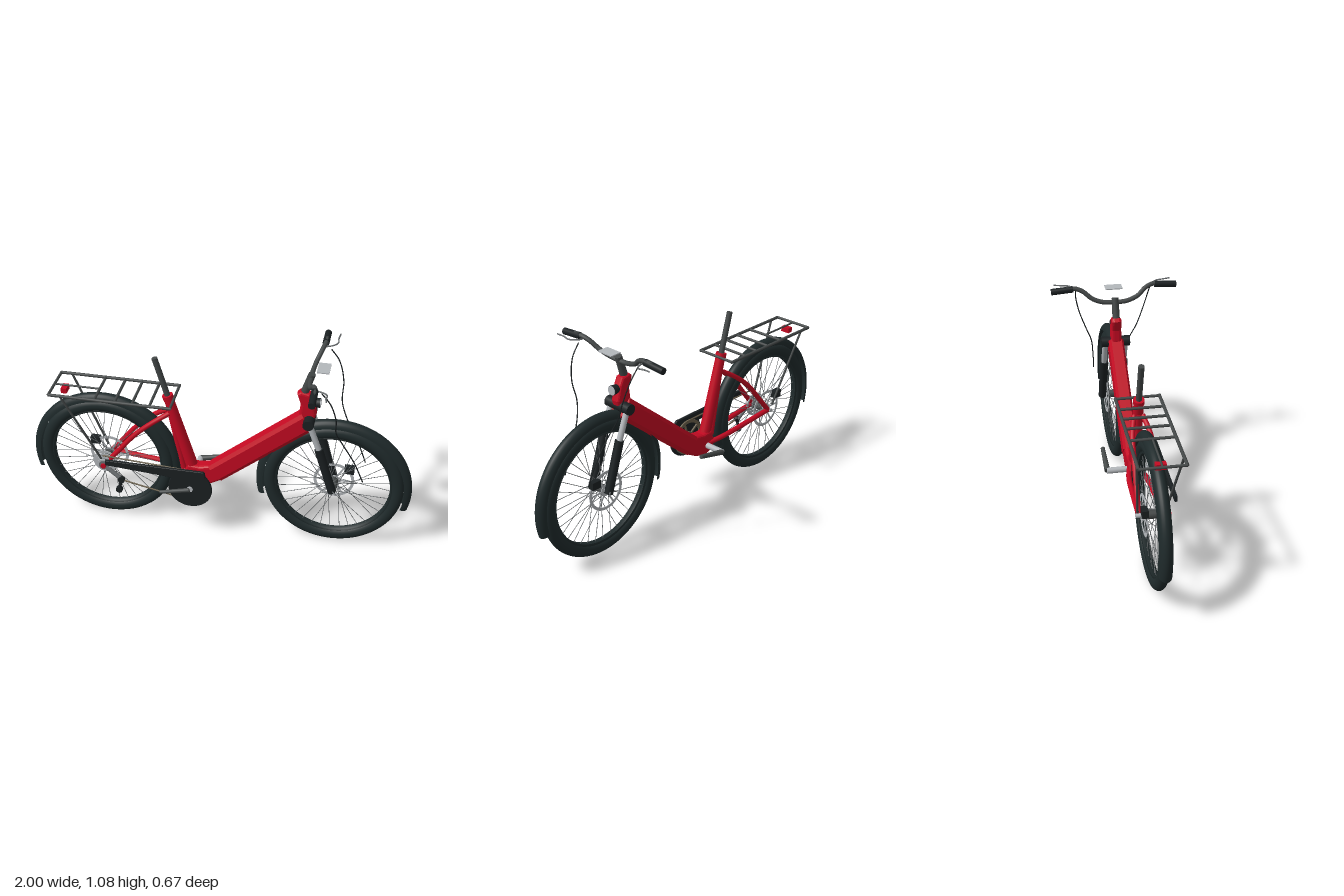
import * as THREE from 'three';
import { mergeGeometries } from 'three/addons/utils/BufferGeometryUtils.js';

const mat = (name, color, side = THREE.FrontSide) => {
  const m = new THREE.MeshStandardMaterial({ color, side });
  m.name = name;
  return m;
};
const V = (p) => new THREE.Vector3(...p);

export function createModel() {
  const red = mat('red paint', 0xc40a22);
  const rubber = mat('black rubber', 0x1f2a2b, THREE.DoubleSide);
  const black = mat('black plastic', 0x1b2022);
  const grey = mat('dark grey metal', 0x434747);
  const silver = mat('silver', 0xb4b8bc, THREE.DoubleSide);
  const steel = mat('spoke steel', 0x6c7072);
  const bronze = mat('chain bronze', 0x6a604c);

  const bike = new THREE.Group();
  bike.name = 'bicycle';

  const add = (name, geo, material, parent = bike) => {
    const m = new THREE.Mesh(geo, material);
    m.name = name;
    parent.add(m);
    return m;
  };
  // straight round bar between two points
  const rodGeo = (a, b, r, r2 = r, sides = 16) => {
    const A = V(a), B = V(b), d = B.clone().sub(A);
    const g = new THREE.CylinderGeometry(r2, r, d.length(), sides);
    g.applyQuaternion(new THREE.Quaternion().setFromUnitVectors(new THREE.Vector3(0, 1, 0), d.normalize()));
    const c = A.add(B).multiplyScalar(0.5);
    return g.translate(c.x, c.y, c.z);
  };
  const rod = (name, a, b, r, m, r2, parent) => add(name, rodGeo(a, b, r, r2), m, parent);
  const pipe = (name, pts, r, m, sides = 10) =>
    add(name, new THREE.TubeGeometry(new THREE.CatmullRomCurve3(pts.map(V)), 40, r, sides), m);
  const box = (name, size, pos, m, parent) =>
    add(name, new THREE.BoxGeometry(...size).translate(...pos), m, parent);
  // side outline extruded across z, centred at z
  const plate = (shape, depth, z, bevel = 0) =>
    new THREE.ExtrudeGeometry(shape, {
      depth: depth - 2 * bevel, bevelEnabled: bevel > 0, bevelSize: bevel,
      bevelThickness: bevel, bevelOffset: -bevel, bevelSegments: 3, curveSegments: 32,
    }).translate(0, 0, z - depth / 2 + bevel);
  const outline = (pts) => new THREE.Shape(pts.map((p) => new THREE.Vector2(...p)));
  const ringShape = (ro, ri) => {
    const s = new THREE.Shape().absarc(0, 0, ro, 0, Math.PI * 2);
    s.holes.push(new THREE.Path().absarc(0, 0, ri, 0, Math.PI * 2));
    return s;
  };
  // ring with radial arms, for brake discs and chainring
  const spider = (ro, ri, hub, arms, z, depth) => {
    const parts = [plate(ringShape(ro, ri), depth, z), plate(ringShape(hub, hub * 0.5), depth, z)];
    for (let i = 0; i < arms; i++) {
      const len = ri - hub + 0.006;
      parts.push(new THREE.BoxGeometry(len, 0.009, depth).toNonIndexed()
        .translate((ri + hub) / 2, 0, z).rotateZ((i / arms) * Math.PI * 2));
    }
    return mergeGeometries(parts);
  };
  // profile of (radius, z) turned around the z axis
  const turned = (pts, start = 0, length = Math.PI * 2) =>
    new THREE.LatheGeometry(pts.map((p) => new THREE.Vector2(...p)), 72, start, length).rotateX(Math.PI / 2);

  // Wheels with mudguards, discs and calipers
  const tyre = [], guard = [];
  for (let i = 0; i <= 20; i++) {
    const a = -Math.PI / 2 + (i / 20) * Math.PI * 2;
    tyre.push([0.327 + 0.033 * Math.cos(a), 0.028 * Math.sin(a)]);
  }
  for (let i = 0; i <= 12; i++) {
    const a = -Math.PI / 2 + (i / 12) * Math.PI;
    guard.push([0.362 + 0.038 * Math.cos(a), 0.031 * Math.sin(a)]);
  }
  const wheel = (name, x) => {
    const g = new THREE.Group();
    g.name = name;
    g.position.set(x, 0.36, 0);
    bike.add(g);
    add('tyre', turned(tyre), rubber, g);
    add('rim', turned([[0.29, -0.014], [0.312, -0.02], [0.312, 0.02], [0.29, 0.014], [0.29, -0.014]]), rubber, g);
    add('mudguard', turned(guard, 1.31, Math.PI * 2 - 2.62), rubber, g);
    const spokes = [];
    for (let i = 0; i < 36; i++) {
      const a = (i / 36) * Math.PI * 2;
      const b = a + (i % 4 < 2 ? 1.1 : -1.1), z = i % 2 ? 0.026 : -0.026;
      spokes.push(rodGeo([0.024 * Math.cos(b), 0.024 * Math.sin(b), z],
        [0.295 * Math.cos(a), 0.295 * Math.sin(a), 0], 0.0016, 0.0016, 5));
    }
    add('spokes', mergeGeometries(spokes), steel, g);
    rod('hub', [0, 0, -0.032], [0, 0, 0.032], 0.022, grey, 0.022, g);
    rod('axle', [0, 0, -0.075], [0, 0, 0.075], 0.011, silver, 0.011, g);
    add('brakeDisc', spider(0.105, 0.09, 0.03, 6, -0.035, 0.003), silver, g);
    box('brakeCaliper', [0.05, 0.04, 0.03], [x < 0 ? -0.075 : 0.075, 0.07, -0.045], black, g);
    return g;
  };
  const rear = wheel('rearWheel', -0.6);
  wheel('frontWheel', 0.6);
  [0.066, 0.056, 0.046, 0.036].forEach((r, i) =>
    add('sprocket', plate(ringShape(r, r - 0.012), 0.004, 0.045 + i * 0.011), silver, rear));
  rod('sprocketCore', [0, 0, 0.035], [0, 0, 0.085], 0.026, steel, 0.026, rear);
  rod('rearAxleNut', [0, 0, 0.085], [0, 0, 0.095], 0.014, red, 0.014, rear);

  // Main beam with chamfered section
  const beam = outline([[-0.04, -0.035], [-0.028, -0.054], [0.028, -0.054], [0.04, -0.035],
    [0.04, 0.035], [0.028, 0.054], [-0.028, 0.054], [-0.04, 0.035]]);
  const A = new THREE.Vector3(-0.015, 0.353, 0), B = new THREE.Vector3(0.455, 0.75, 0);
  const beamMesh = add('mainBeam', new THREE.ExtrudeGeometry(beam, { depth: A.distanceTo(B), bevelEnabled: false }), red);
  beamMesh.position.copy(A);
  beamMesh.lookAt(B);
  // motor housing, head and seat tube
  add('motorHousing', plate(outline([[-0.185, 0.33], [-0.17, 0.28], [-0.12, 0.26], [-0.05, 0.275],
    [0.02, 0.315], [0.02, 0.39], [-0.05, 0.395], [-0.1, 0.385], [-0.16, 0.39]]), 0.07, 0, 0.015), red);
  add('headTube', plate(outline([[0.392, 0.9], [0.41, 0.915], [0.455, 0.905], [0.472, 0.87],
    [0.492, 0.79], [0.485, 0.76], [0.44, 0.75], [0.405, 0.78], [0.412, 0.84]]), 0.054, 0, 0.015), red);
  rod('seatTube', [-0.13, 0.33, 0], [-0.26, 0.785, 0], 0.032, red, 0.025);
  rod('seatTubeBrace', [-0.185, 0.35, 0], [-0.25, 0.71, 0], 0.018, red);
  rod('seatCollar', [-0.256, 0.77, 0], [-0.263, 0.795, 0], 0.028, red);
  rod('seatPost', [-0.25, 0.75, 0], [-0.323, 1.005, 0], 0.015, grey);

  // Paired frame, fork and rack parts
  for (const s of [1, -1]) {
    pipe('seatStay', [[-0.25, 0.7, s * 0.022], [-0.34, 0.64, s * 0.045], [-0.43, 0.56, s * 0.052],
      [-0.52, 0.45, s * 0.056], [-0.59, 0.365, s * 0.058]], 0.013, red);
    pipe('chainStay', [[-0.595, 0.362, s * 0.058], [-0.42, 0.347, s * 0.053],
      [-0.25, 0.332, s * 0.045], [-0.13, 0.32, s * 0.025]], 0.014, red);
    rod('forkUpper', [0.465, 0.75, s * 0.055], [0.525, 0.59, s * 0.055], 0.015, silver);
    rod('forkLower', [0.518, 0.61, s * 0.055], [0.6, 0.352, s * 0.055], 0.022, black);
    rod('rackRail', [-0.855, 0.787, s * 0.108], [-0.22, 0.787, s * 0.108], 0.008, grey);
    rod('rackStrut', [-0.795, 0.785, s * 0.105], [-0.615, 0.39, s * 0.068], 0.006, grey);

    // handlebar half, grip, lever and cable
    pipe('handlebar', [[0.455, 0.988, 0], [0.455, 0.992, s * 0.06], [0.465, 1.012, s * 0.12],
      [0.485, 1.05, s * 0.17], [0.495, 1.064, s * 0.215], [0.495, 1.055, s * 0.32]], 0.012, grey);
    rod('grip', [0.495, 1.06, s * 0.218], [0.495, 1.052, s * 0.333], 0.017, black);
    pipe('brakeLever', [[0.5, 1.05, s * 0.2], [0.535, 1.053, s * 0.215], [0.555, 1.056, s * 0.24],
      [0.553, 1.06, s * 0.27], [0.558, 1.063, s * 0.312]], 0.004, steel, 6);
    pipe('brakeCable', [[0.525, 1.04, s * 0.2], [0.57, 0.98, s * 0.196], [0.6, 0.88, s * 0.175],
      [0.603, 0.78, s * 0.14], [0.64, 0.69, s * 0.108], [0.7, 0.58, s * 0.092], [0.75, 0.46, s * 0.082]], 0.003, black, 6);
  }

  // Fork crown, stem, display and lamp
  rod('forkCrown', [0.46, 0.757, -0.077], [0.46, 0.757, 0.077], 0.028, black);
  rod('stem', [0.425, 0.9, 0], [0.458, 1.012, 0], 0.02, grey, 0.018);
  box('display', [0.06, 0.005, 0.09], [0.513, 1.05, 0], silver);
  rod('lampBody', [0.465, 0.85, 0], [0.506, 0.85, 0], 0.02, black, 0.025);
  rod('lampLens', [0.505, 0.85, 0], [0.51, 0.85, 0], 0.023, silver);

  // Rack crossbars and rear lamp
  for (const x of [-0.855, -0.615, -0.51, -0.42, -0.33, -0.225])
    rod('rackCrossbar', [x, 0.787, -0.108], [x, 0.787, 0.108], 0.007, grey);
  box('rearLamp', [0.03, 0.028, 0.05], [-0.803, 0.763, 0], red);
  rod('rearLampBracket', [-0.855, 0.785, 0], [-0.615, 0.785, 0], 0.005, grey);

  // Drivetrain
  const cx = -0.125, cy = 0.315;
  add('chainring', spider(0.1, 0.082, 0.03, 5, 0.105, 0.008).translate(cx, cy, 0), bronze);
  const cover = new THREE.Shape();
  cover.moveTo(-0.575, 0.43);
  cover.lineTo(-0.06, 0.43);
  cover.quadraticCurveTo(-0.045, 0.43, -0.045, 0.4);
  cover.absarc(cx, cy, 0.115, 0.8, 2.6 - Math.PI * 2 + Math.PI * 2 - Math.PI * 2, true);
  cover.lineTo(-0.575, 0.4);
  add('chainGuard', plate(cover, 0.016, 0.125, 0.004), black);
  rod('crankAxle', [cx, cy, -0.14], [cx, cy, 0.14], 0.016, silver);
  rod('leftCrank', [cx, cy, -0.137], [0.035, 0.352, -0.137], 0.015, grey, 0.011);
  rod('rightCrank', [cx, cy, 0.142], [-0.283, 0.277, 0.142], 0.012, grey, 0.009);
  rod('upperChain', [-0.6, 0.425, 0.085], [cx, 0.412, 0.105], 0.004, bronze);
  rod('lowerChain', [-0.51, 0.285, 0.09], [cx - 0.02, 0.218, 0.105], 0.004, bronze);
  rod('returnChain', [-0.53, 0.215, 0.09], [-0.5, 0.285, 0.09], 0.004, bronze);
  rod('derailleurArm', [-0.585, 0.345, 0.078], [-0.505, 0.285, 0.085], 0.012, steel);
  rod('derailleurCage', [-0.505, 0.29, 0.09], [-0.52, 0.215, 0.09], 0.008, black);
  for (const [x, y] of [[-0.505, 0.285], [-0.52, 0.218]])
    rod('pulley', [x, y, 0.08], [x, y, 0.1], 0.018, black);

  return bike;
}
